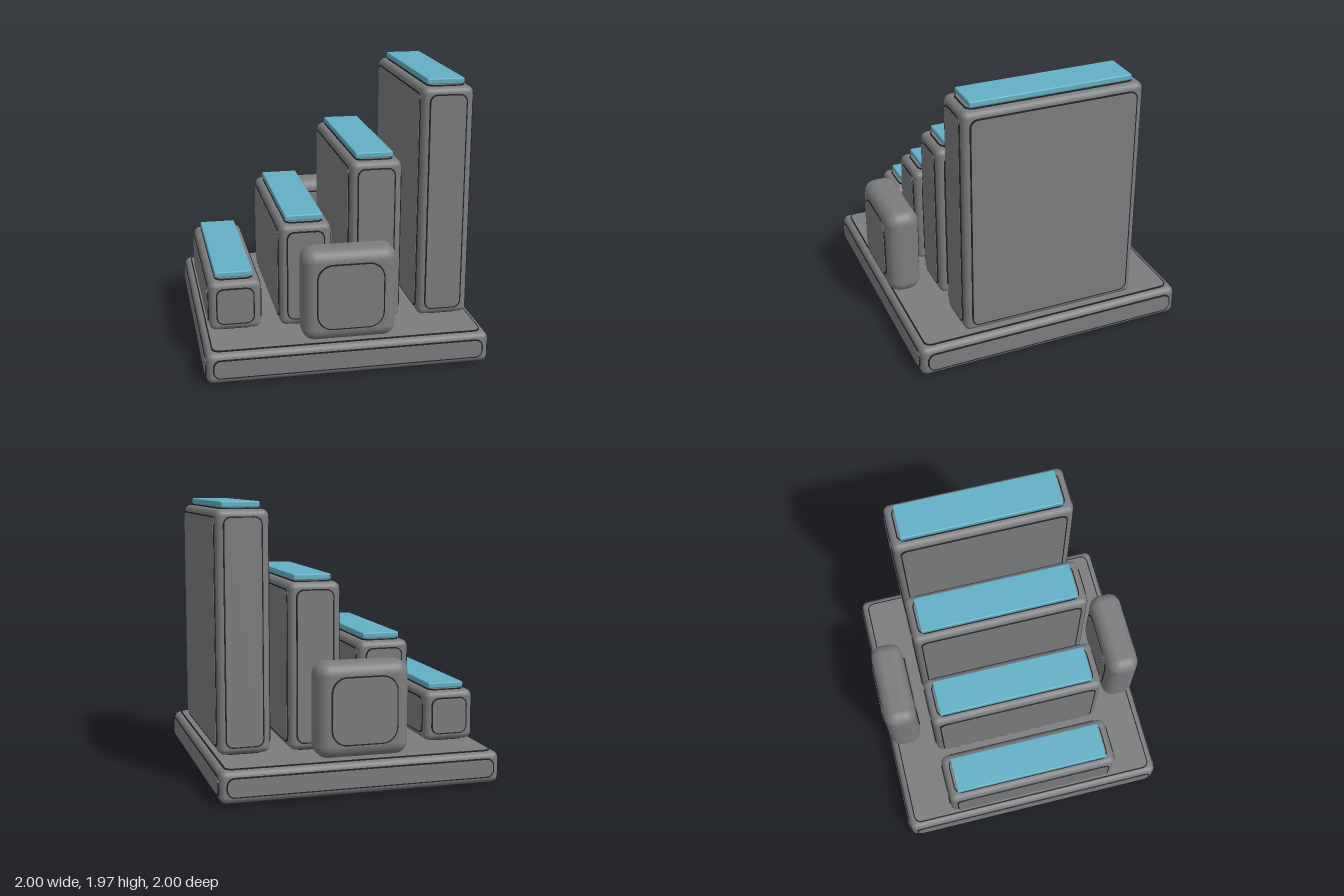
import * as THREE from 'three';
import { RoundedBoxGeometry } from 'three/addons/geometries/RoundedBoxGeometry.js';

function mat(name, color) {
  const m = new THREE.MeshStandardMaterial({ color });
  m.name = name;
  return m;
}

// Flat plate with rounded corners, lying in xy and rising along +z
function plateGeometry(w, h, r, depth) {
  const x = w / 2, y = h / 2, s = new THREE.Shape();
  s.moveTo(-x + r, -y);
  s.lineTo(x - r, -y);
  s.absarc(x - r, -y + r, r, -Math.PI / 2, 0);
  s.lineTo(x, y - r);
  s.absarc(x - r, y - r, r, 0, Math.PI / 2);
  s.lineTo(-x + r, y);
  s.absarc(-x + r, y - r, r, Math.PI / 2, Math.PI);
  s.lineTo(-x, -y + r);
  s.absarc(-x + r, -y + r, r, Math.PI, Math.PI * 1.5);
  return new THREE.ExtrudeGeometry(s, { depth, bevelEnabled: false, curveSegments: 4 });
}

export function createModel() {
  const grey = mat('grey', 0x7b7c7e);
  const dark = mat('dark trim', 0x1f2123);
  const teal = mat('teal', 0x62b0c6);
  const model = new THREE.Group();
  model.name = 'barChartStand';

  function add(parent, name, geometry, material, x = 0, y = 0, z = 0) {
    const m = new THREE.Mesh(geometry, material);
    m.name = name;
    m.position.set(x, y, z);
    parent.add(m);
    return m;
  }

  // Rounded block with a dark-rimmed raised panel on each chosen face
  function block(name, size, centre, radius, inset, corner, faces) {
    const g = new THREE.Group();
    g.name = name;
    g.position.set(...centre);
    const [w, h, d] = size;
    add(g, name + 'Body', new RoundedBoxGeometry(w, h, d, 4, radius), grey);
    const layout = {
      front: [w, h, d, 0, 0], back: [w, h, d, 0, Math.PI],
      left: [d, h, w, 0, Math.PI / 2], right: [d, h, w, 0, -Math.PI / 2],
      top: [w, d, h, -Math.PI / 2, 0], bottom: [w, d, h, Math.PI / 2, 0],
    };
    for (const face of faces) {
      const [pw, ph, depth, rx, ry] = layout[face];
      const panel = new THREE.Group();
      panel.name = face + 'Panel';
      panel.rotation.set(rx, ry, 0);
      const a = pw - 2 * inset, b = ph - 2 * inset, rim = 0.009;
      add(panel, 'panelRim', plateGeometry(a, b, corner, 0.009), dark, 0, 0, depth / 2 - 0.001);
      add(panel, 'panelFace', plateGeometry(a - 2 * rim, b - 2 * rim, corner - rim, 0.009),
        grey, 0, 0, depth / 2 + 0.001);
      g.add(panel);
    }
    model.add(g);
    return g;
  }

  const allFaces = ['front', 'back', 'left', 'right', 'top', 'bottom'];

  // Square base
  block('base', [1.98, 0.22, 1.98], [0, 0.12, 0], 0.045, 0.041, 0.055, allFaces);

  // Four rising towers, each with a teal cap
  [0.61, 0.995, 1.42, 1.92].forEach((top, i) => {
    const bottom = 0.25, h = top - bottom;
    const tower = block('tower' + (i + 1), [0.364, h, 1.29],
      [-0.75 + i * 0.5, bottom + h / 2, 0], 0.045, 0.047, 0.055, allFaces);
    add(tower, 'cap', new RoundedBoxGeometry(0.266, 0.041, 1.155, 2, 0.009), teal, 0, h / 2 + 0.031, 0);
  });

  // Rounded blocks at the front and back edges
  for (const side of [1, -1]) {
    block(side > 0 ? 'frontBlock' : 'backBlock', [0.656, 0.656, 0.24],
      [0, 0.582, side * 0.867], 0.09, 0.093, 0.11, ['front', 'back']);
  }
  return model;
}
